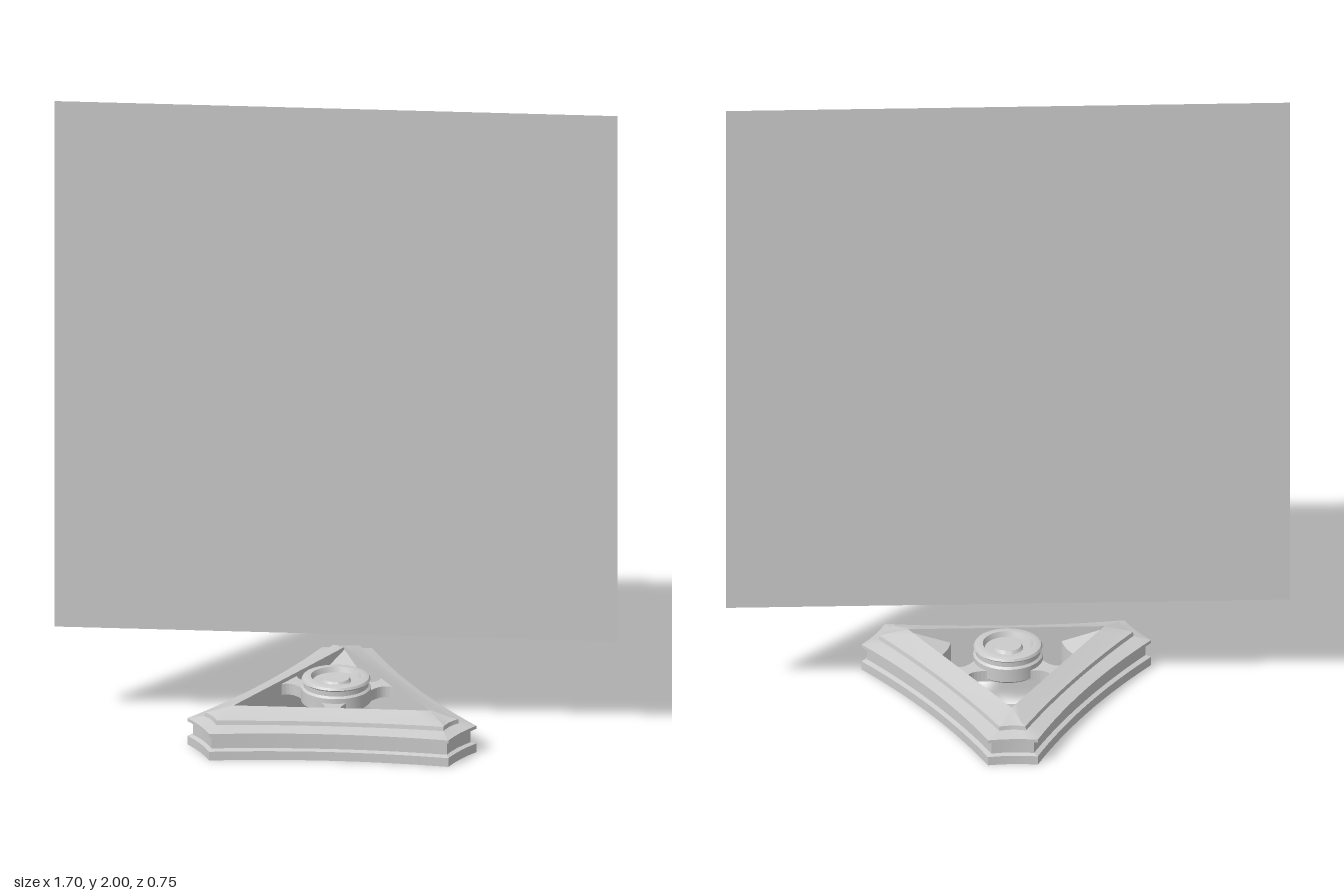
import * as THREE from 'three';
import { toCreasedNormals } from 'three/addons/utils/BufferGeometryUtils.js';

const CENTRE_Z = 0.08; // axis of the three-fold base
const THIRD = (Math.PI * 2) / 3;
const grey = new THREE.MeshStandardMaterial({ color: 0xcccccc });
const sheet = new THREE.MeshStandardMaterial({ color: 0xcccccc, side: THREE.DoubleSide });

function add(parent, name, geometry, material = grey) {
  const mesh = new THREE.Mesh(geometry, material);
  mesh.name = name;
  parent.add(mesh);
  return mesh;
}

// Truncated triangle: tip half-width w at distance t, side middles at distance m
function outline(w, t, m, tipDip) {
  const points = [];
  const curve = (a, mid, b, n) => {
    const control = mid.clone().multiplyScalar(2).addScaledVector(a, -0.5).addScaledVector(b, -0.5);
    points.push(...new THREE.QuadraticBezierCurve(a, control, b).getPoints(n).slice(0, n));
  };
  const O = new THREE.Vector2();
  for (let k = 0; k < 3; k++) {
    const at = (x, z, turn = k) => new THREE.Vector2(x, z).rotateAround(O, turn * THIRD);
    curve(at(-w, -t), at(0, -t + tipDip), at(w, -t), 4);
    curve(at(w, -t), at(0, m, k + 2), at(-w, -t, k + 1), 16);
  }
  return points;
}

// Moulded frame lofted through inset outlines, outside up, then down the inner wall
function frameGeometry() {
  const profile = [
    [0, 0], [0, 0.028], [0.013, 0.033], [0.013, 0.07], [0, 0.075], [0, 0.085],
    [0.04, 0.096], [0.042, 0.109], [0.055, 0.113],
  ];
  const rings = profile.map(([d, y]) => ({ y, p: outline(0.075 - 0.85 * d, 0.46 - d, 0.27 - d, 0.006) }));
  const inner = outline(0.001, 0.34, 0.17, 0);
  rings.push({ y: 0.132, p: inner }, { y: 0, p: inner });

  const positions = [];
  const n = inner.length;
  rings.forEach((low, i) => {
    const high = rings[(i + 1) % rings.length];
    for (let j = 0; j < n; j++) {
      const j2 = (j + 1) % n;
      const v = (ring, q) => [ring.p[q].x, ring.y, ring.p[q].y];
      positions.push(...v(low, j), ...v(high, j), ...v(low, j2));
      positions.push(...v(low, j2), ...v(high, j), ...v(high, j2));
    }
  });
  const geometry = new THREE.BufferGeometry();
  geometry.setAttribute('position', new THREE.Float32BufferAttribute(positions, 3));
  return toCreasedNormals(geometry, 0.35);
}

// Extrudes a plan shape upwards; shape +y points to -z
function slab(shape, bottom, top) {
  const geometry = new THREE.ExtrudeGeometry(shape, { depth: top - bottom, bevelEnabled: false, curveSegments: 10 });
  return geometry.rotateX(-Math.PI / 2).translate(0, bottom, 0);
}

// Block closing an inner corner, its top falling towards the hub
function cornerGeometry() {
  const shape = new THREE.Shape();
  shape.moveTo(0, 0.345);
  shape.lineTo(-0.066, 0.23);
  shape.quadraticCurveTo(0, 0.208, 0.066, 0.23);
  shape.closePath();
  const geometry = slab(shape, 0, 1);
  const p = geometry.attributes.position;
  for (let i = 0; i < p.count; i++) {
    if (p.getY(i) > 0.5) p.setY(i, 0.08 + 0.045 * (-p.getZ(i) - 0.22) / 0.125);
  }
  geometry.computeVertexNormals();
  return geometry;
}

// Waisted spoke from the hub to the middle of a side
function spokeGeometry() {
  const shape = new THREE.Shape();
  shape.moveTo(-0.05, -0.08);
  shape.bezierCurveTo(-0.02, -0.12, -0.01, -0.155, -0.05, -0.175);
  shape.lineTo(0.05, -0.175);
  shape.bezierCurveTo(0.01, -0.155, 0.02, -0.12, 0.05, -0.08);
  shape.closePath();
  return slab(shape, 0.085, 0.12);
}

function hubGeometry() {
  const profile = [
    [0, 0.085], [0.095, 0.085], [0.105, 0.093], [0.105, 0.135], [0.098, 0.141], [0.098, 0.156],
    [0.104, 0.161], [0.1, 0.168], [0.092, 0.171], [0.076, 0.171], [0.07, 0.155], [0.046, 0.155],
    [0.04, 0.165], [0, 0.165],
  ].map(([r, y]) => new THREE.Vector2(r, y));
  return toCreasedNormals(new THREE.LatheGeometry(profile, 40), 0.5);
}

export function createModel() {
  const model = new THREE.Group();
  model.name = 'panelOnStand';

  const base = new THREE.Group();
  base.name = 'base';
  base.position.z = CENTRE_Z;
  model.add(base);

  add(base, 'frame', frameGeometry());
  add(base, 'hub', hubGeometry());
  const corner = cornerGeometry();
  const spoke = spokeGeometry();
  for (let k = 0; k < 3; k++) {
    add(base, 'cornerFill', corner).rotation.y = k * THIRD;
    add(base, 'spoke', spoke).rotation.y = k * THIRD;
  }

  // Thin upright panel floating above the hub
  const panel = add(model, 'panel', new THREE.PlaneGeometry(1.7, 1.695), sheet);
  panel.position.set(0, 1.1525, CENTRE_Z);
  return model;
}
